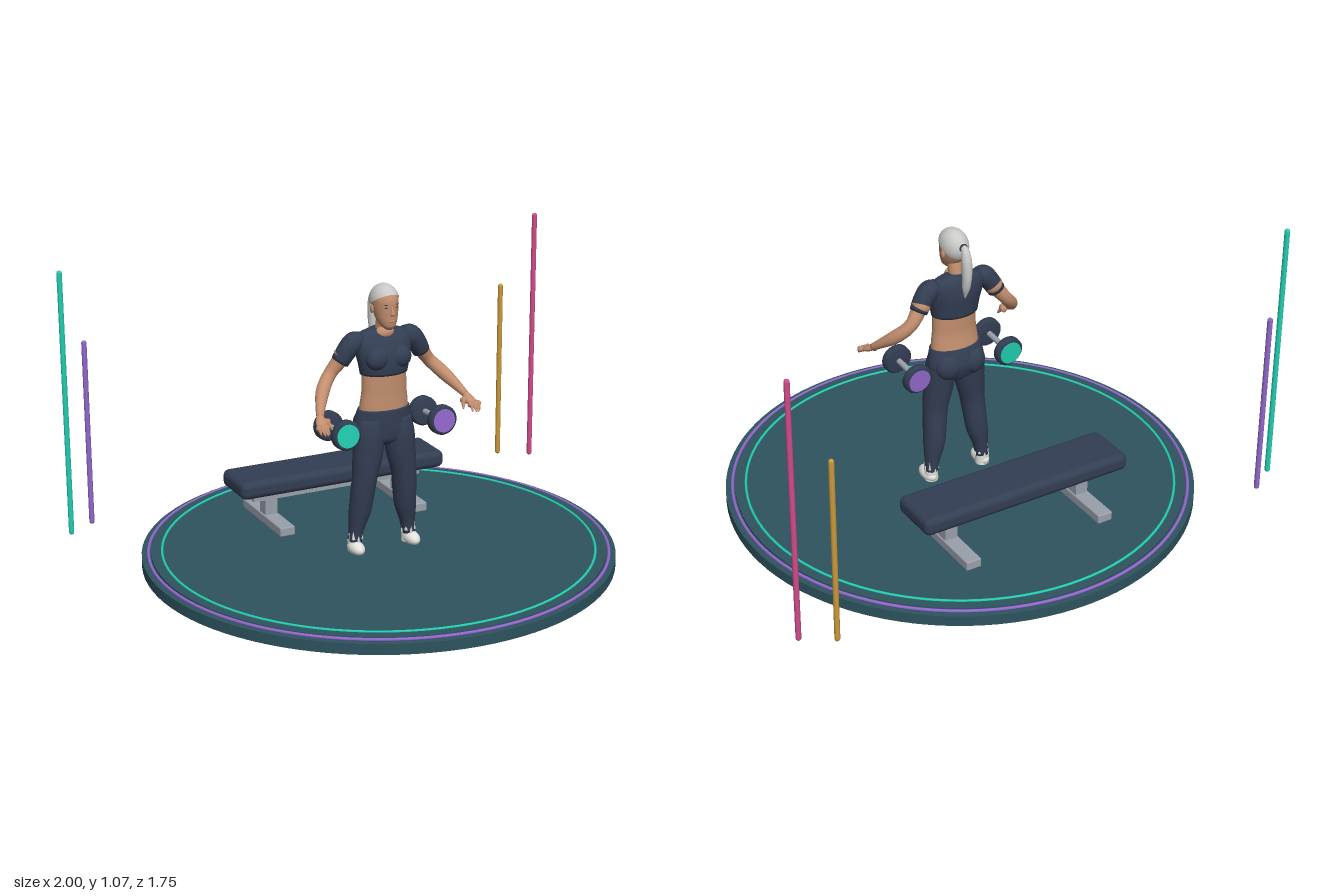
import * as THREE from 'three';
import { RoundedBoxGeometry } from 'three/addons/geometries/RoundedBoxGeometry.js';

const mat = (name, color) => {
  const m = new THREE.MeshStandardMaterial({ color });
  m.name = name;
  return m;
};

// Smooth body through rows [x, y, z, radiusA, radiusB]; rings stay level if level is set
function loft(rows, { level = false, ref = [0, 0, 1], steps = 4, sides = 24 } = {}) {
  const path = new THREE.CatmullRomCurve3(rows.map(r => new THREE.Vector3(r[0], r[1], r[2])));
  const size = new THREE.CatmullRomCurve3(rows.map(r => new THREE.Vector3(r[3], r[4] ?? r[3], 0)));
  const up = new THREE.Vector3(...ref), n = (rows.length - 1) * steps, pos = [], idx = [];
  const flip = rows[rows.length - 1][1] < rows[0][1] ? -1 : 1;
  for (let i = 0; i <= n; i++) {
    const p = path.getPoint(i / n), r = size.getPoint(i / n);
    const t = level ? new THREE.Vector3(0, flip, 0) : path.getTangent(i / n);
    const s = t.clone().cross(up).normalize(), b = s.clone().cross(t);
    for (let j = 0; j < sides; j++) {
      const a = j / sides * Math.PI * 2;
      const v = p.clone().addScaledVector(s, Math.cos(a) * r.x).addScaledVector(b, Math.sin(a) * r.y);
      pos.push(v.x, v.y, v.z);
    }
  }
  const first = pos.length / 3, end = path.getPoint(1);
  pos.push(rows[0][0], rows[0][1], rows[0][2], end.x, end.y, end.z);
  for (let j = 0; j < sides; j++) {
    const k = (j + 1) % sides;
    for (let i = 0; i < n; i++) {
      const a = i * sides + j, c = i * sides + k;
      idx.push(a, a + sides, c, a + sides, c + sides, c);
    }
    idx.push(first, j, k, first + 1, n * sides + k, n * sides + j);
  }
  const g = new THREE.BufferGeometry();
  g.setAttribute('position', new THREE.Float32BufferAttribute(pos, 3));
  g.setIndex(idx);
  g.computeVertexNormals();
  return g;
}

const ball = (x, y, z, rx, ry, rz) =>
  new THREE.SphereGeometry(1, 24, 16).scale(rx, ry, rz).translate(x, y, z);

export function createModel() {
  const model = new THREE.Group();
  const base = mat('deep teal', 0x2d535e), navy = mat('navy', 0x333e53), skin = mat('skin', 0xc28e6e);
  const hair = mat('silver hair', 0xc9c9c7), teal = mat('bright teal', 0x22cfb2), purple = mat('purple', 0x9168cc);
  const pink = mat('pink', 0xd24c8a), gold = mat('gold', 0xcb9a3c), steel = mat('steel', 0x9aa0ab);
  const white = mat('white', 0xe2e2de);
  hair.side = THREE.DoubleSide;

  const add = (name, geo, m, parent = model) => {
    const mesh = new THREE.Mesh(geo, m);
    mesh.name = name;
    parent.add(mesh);
    return mesh;
  };
  const group = name => {
    const g = new THREE.Group();
    g.name = name;
    model.add(g);
    return g;
  };
  const box = (w, h, d, x, y, z) => new THREE.BoxGeometry(w, h, d).translate(x, y, z);
  const ring = (r, t, y) => new THREE.TorusGeometry(r, t, 8, 96).rotateX(Math.PI / 2).translate(0, y, 0);

  // Round platform with two glowing rings
  const platform = group('platform');
  add('platformBase', new THREE.CylinderGeometry(0.875, 0.875, 0.04, 96).translate(0, 0.02, 0), base, platform);
  add('platformTop', new THREE.CylinderGeometry(0.84, 0.84, 0.012, 96).translate(0, 0.044, 0), base, platform);
  add('outerRing', ring(0.85, 0.006, 0.045), purple, platform);
  add('innerRing', ring(0.8, 0.005, 0.051), teal, platform);

  // Light poles
  for (const [x, z, top, m] of [[-0.99, -0.59, 1.07, teal], [-0.885, -0.66, 0.775, purple],
    [0.88, -0.66, 0.775, gold], [0.99, -0.59, 1.07, pink]])
    add('lightPole', new THREE.CapsuleGeometry(0.01, top - 0.07, 4, 12).translate(x, (top + 0.05) / 2, z), m);

  // Flat bench
  const bench = group('bench');
  add('benchPad', new RoundedBoxGeometry(0.85, 0.068, 0.205, 4, 0.025).translate(0, 0.222, -0.378), navy, bench);
  add('benchBeam', box(0.7, 0.038, 0.055, 0, 0.17, -0.375), steel, bench);
  for (const s of [-1, 1]) {
    add('benchColumn', box(0.05, 0.11, 0.05, s * 0.278, 0.135, -0.375), steel, bench);
    add('benchFoot', new RoundedBoxGeometry(0.06, 0.036, 0.355, 2, 0.005).translate(s * 0.278, 0.072, -0.378), steel, bench);
  }

  // Dumbbells, each lying front to back
  for (const [s, m] of [[-1, teal], [1, purple]]) {
    const bell = group('dumbbell');
    const disc = (r, d, z) => new THREE.CylinderGeometry(r, r, d, 32).rotateX(Math.PI / 2).translate(0, 0, z);
    add('handle', disc(0.011, 0.15, 0), steel, bell);
    for (const e of [-1, 1]) {
      const profile = [[0, -0.018], [0.046, -0.018], [0.055, -0.01], [0.055, 0.01], [0.046, 0.018], [0, 0.018]];
      add('weight', new THREE.LatheGeometry(profile.map(p => new THREE.Vector2(...p)), 32)
        .rotateX(Math.PI / 2).translate(0, 0, e * 0.074), navy, bell);
      add('weightFace', disc(0.043, 0.006, e * 0.092), m, bell);
    }
    bell.position.set(s * 0.193, 0.537, 0.052);
    bell.rotation.x = -0.06;
  }

  // Athlete: trunk
  const body = group('athlete');
  const level = { level: true, sides: 32 };
  add('midriff', loft([[0, 0.57, 0.036, 0.098, 0.058], [0, 0.62, 0.04, 0.093, 0.053], [0, 0.66, 0.042, 0.088, 0.05],
    [0, 0.7, 0.042, 0.087, 0.05], [0, 0.75, 0.042, 0.085, 0.05]], level), skin, body);
  add('cropTop', loft([[0, 0.728, 0.039, 0.091, 0.063], [0, 0.765, 0.039, 0.098, 0.066], [0, 0.81, 0.034, 0.108, 0.065],
    [0, 0.85, 0.027, 0.113, 0.055], [0, 0.875, 0.022, 0.092, 0.043], [0, 0.892, 0.022, 0.042, 0.028]], level), navy, body);
  add('hips', loft([[0, 0.455, 0.035, 0.02, 0.03], [0, 0.48, 0.035, 0.095, 0.058], [0, 0.53, 0.03, 0.114, 0.068],
    [0, 0.57, 0.034, 0.107, 0.064], [0, 0.597, 0.038, 0.101, 0.059]], level), navy, body);
  add('neck', loft([[0, 0.85, 0.025, 0.034, 0.03], [0, 0.89, 0.03, 0.027, 0.027], [0, 0.94, 0.042, 0.026, 0.028]], level), skin, body);
  add('neckline', ball(0, 0.877, 0.046, 0.036, 0.026, 0.026), skin, body);

  // Head and face
  add('head', loft([[0, 0.896, 0.077, 0.01, 0.016], [0, 0.91, 0.071, 0.027, 0.034], [0, 0.935, 0.06, 0.038, 0.048],
    [0, 0.965, 0.051, 0.044, 0.057], [0, 1, 0.046, 0.047, 0.062], [0, 1.03, 0.044, 0.04, 0.052],
    [0, 1.05, 0.04, 0.016, 0.02]], level), skin, body);
  add('nose', loft([[0, 0.985, 0.104, 0.004], [0, 0.968, 0.111, 0.006], [0, 0.957, 0.112, 0.009, 0.007],
    [0, 0.951, 0.107, 0.005]], { level: true, sides: 12 }), skin, body);
  add('lips', ball(0, 0.932, 0.105, 0.014, 0.004, 0.005), skin, body);
  for (const s of [-1, 1]) {
    add('eye', ball(s * 0.018, 0.981, 0.1, 0.007, 0.003, 0.004), navy, body);
    add('eyebrow', ball(s * 0.019, 0.992, 0.101, 0.01, 0.002, 0.004), navy, body);
    add('ear', ball(s * 0.047, 0.968, 0.04, 0.006, 0.016, 0.011), skin, body);
  }

  // Swept-back hair and ponytail
  add('hairCap', new THREE.SphereGeometry(1, 32, 16, 0, Math.PI * 2, 0, Math.PI * 0.51)
    .rotateX(-0.6).scale(0.051, 0.062, 0.068).translate(0, 0.994, 0.044), hair, body);
  add('ponytail', loft([[0, 1.01, -0.01, 0.01], [0, 1.005, -0.034, 0.014], [0, 0.965, -0.046, 0.019],
    [0, 0.91, -0.048, 0.02, 0.018], [0, 0.86, -0.043, 0.015], [0, 0.815, -0.035, 0.003]], { ref: [1, 0, 0] }), hair, body);
  add('hairTie', new THREE.TorusGeometry(0.012, 0.004, 8, 20).translate(0, 1.009, -0.024), navy, body);

  // Mirrored limbs
  for (const s of [-1, 1]) {
    const limb = (name, rows, m, opt) =>
      add(name, loft(rows.map(([x, ...r]) => [s * x, ...r]), opt), m, body);
    add('bust', ball(s * 0.045, 0.79, 0.078, 0.044, 0.042, 0.034), navy, body);
    add('seatMuscle', ball(s * 0.05, 0.53, 0.002, 0.052, 0.055, 0.045), navy, body);

    // Arm and hand
    limb('sleeve', [[0.08, 0.86, 0.024, 0.026], [0.115, 0.847, 0.025, 0.038], [0.142, 0.815, 0.022, 0.036],
      [0.163, 0.78, 0.016, 0.033]], navy);
    limb('arm', [[0.13, 0.83, 0.024, 0.028], [0.163, 0.785, 0.015, 0.028], [0.2, 0.737, 0.009, 0.024],
      [0.24, 0.693, 0.038, 0.025], [0.275, 0.648, 0.09, 0.018], [0.292, 0.623, 0.122, 0.013]], skin);
    limb('palm', [[0.29, 0.626, 0.118, 0.012], [0.296, 0.612, 0.138, 0.019, 0.012],
      [0.3, 0.602, 0.158, 0.02, 0.009], [0.301, 0.597, 0.168, 0.014, 0.005]], skin, { ref: [0, 1, 0] });
    for (let i = 0; i < 4; i++) {
      const x = 0.286 + i * 0.01, reach = [0.188, 0.2, 0.198, 0.184][i];
      limb('finger', [[x, 0.603, 0.155, 0.006], [x + 0.002, 0.594, 0.176, 0.006],
        [x, 0.578, reach, 0.003]], skin, { ref: [1, 0, 0], sides: 10 });
    }
    limb('thumb', [[0.285, 0.615, 0.132, 0.008], [0.27, 0.602, 0.148, 0.008], [0.262, 0.584, 0.162, 0.003]], skin, { sides: 10 });

    // Leg, shoe and pale ankle flashes
    limb('legging', [[0.056, 0.56, 0.035, 0.048, 0.056], [0.06, 0.5, 0.04, 0.058, 0.06], [0.067, 0.42, 0.044, 0.056, 0.054],
      [0.079, 0.34, 0.045, 0.047, 0.047], [0.086, 0.27, 0.038, 0.044, 0.046], [0.093, 0.2, 0.031, 0.041, 0.041],
      [0.105, 0.13, 0.026, 0.028, 0.03], [0.11, 0.085, 0.025, 0.025, 0.027]], navy, { level: true });
    const shoe = ball(s * 0.114, 0.066, 0.042, 0.028, 0.027, 0.05), p = shoe.attributes.position;
    for (let i = 0; i < p.count; i++) p.setY(i, Math.max(0.051, p.getY(i)));
    shoe.computeVertexNormals();
    add('shoe', shoe, white, body);
    add('shoeHeel', new THREE.CylinderGeometry(0.026, 0.026, 0.04, 20).translate(s * 0.111, 0.07, 0.023), white, body);
    for (let i = 0; i < 8; i++) {
      const a = i / 8 * Math.PI * 2;
      add('ankleFlash', new THREE.ConeGeometry(0.007, 0.04, 4).scale(1, 1, 0.6).rotateY(a)
        .translate(s * 0.108 + Math.sin(a) * 0.025, 0.108 + (i % 2) * 0.012, 0.026 + Math.cos(a) * 0.027), white, body);
    }
  }
  return model;
}
